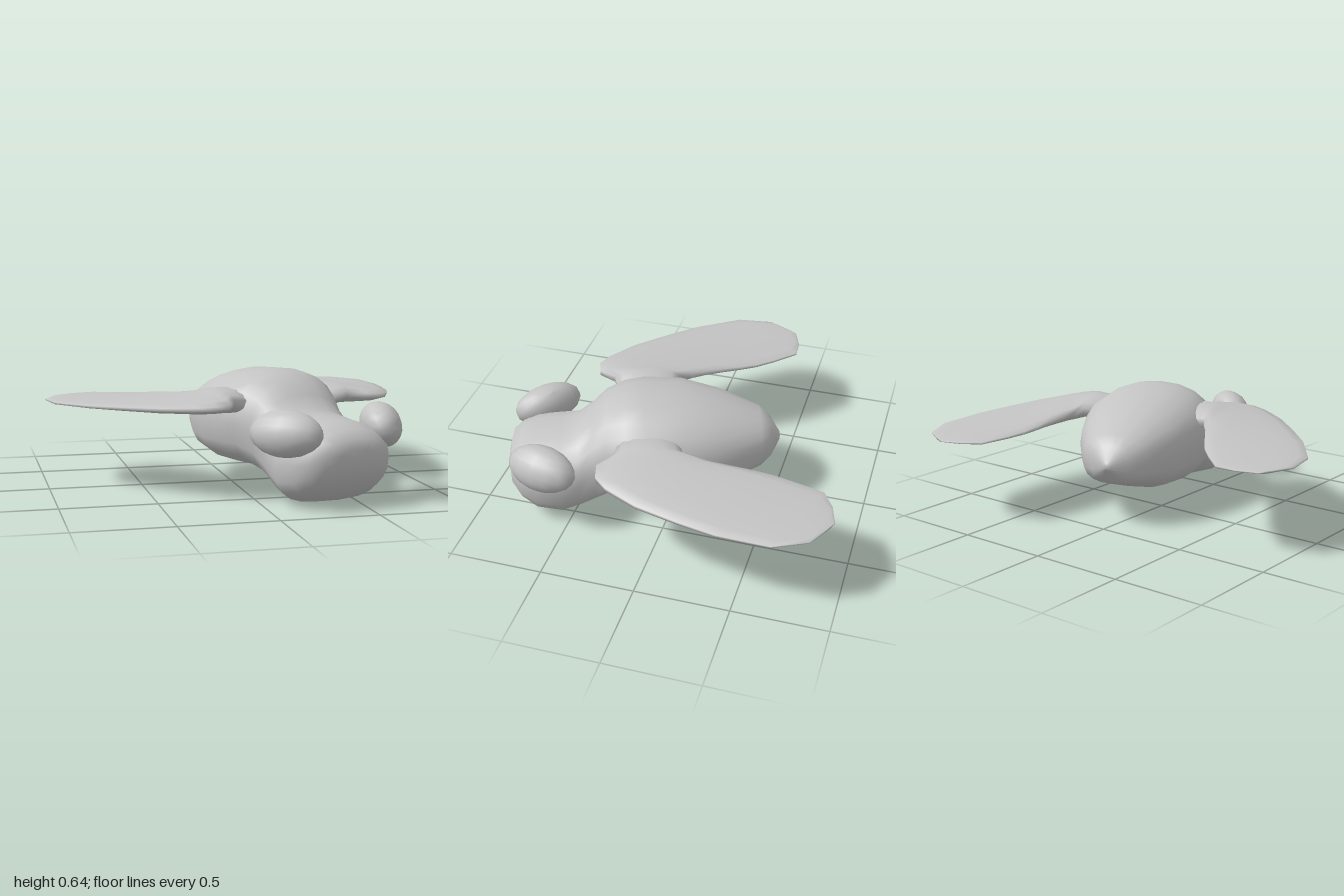
import * as THREE from 'three';

// Skin a closed surface over a list of rings (arrays of Vector3 of equal length).
function loft(rings) {
  const n = rings[0].length, pos = [], idx = [];
  rings.forEach(r => r.forEach(p => pos.push(p.x, p.y, p.z)));
  for (let i = 0; i < rings.length - 1; i++) {
    for (let j = 0; j < n; j++) {
      const a = i * n + j, b = i * n + (j + 1) % n;
      idx.push(a, b, a + n, b, b + n, a + n);
    }
  }
  [0, rings.length - 1].forEach((k, end) => {
    const c = new THREE.Vector3();
    rings[k].forEach(p => c.addScaledVector(p, 1 / n));
    const ci = pos.length / 3;
    pos.push(c.x, c.y, c.z);
    for (let j = 0; j < n; j++) {
      const a = k * n + j, b = k * n + (j + 1) % n;
      if (end) idx.push(a, b, ci); else idx.push(b, a, ci);
    }
  });
  const g = new THREE.BufferGeometry();
  g.setAttribute('position', new THREE.Float32BufferAttribute(pos, 3));
  g.setIndex(idx);
  g.computeVertexNormals();
  return g;
}

// Copy of a geometry reflected in x, with the winding restored.
function mirrorX(geometry) {
  const g = geometry.clone();
  const p = g.attributes.position, ix = g.index.array;
  for (let i = 0; i < p.count; i++) p.setX(i, -p.getX(i));
  for (let i = 0; i < ix.length; i += 3) [ix[i], ix[i + 1]] = [ix[i + 1], ix[i]];
  g.computeVertexNormals();
  return g;
}

const spow = (v, e) => Math.sign(v) * Math.abs(v) ** e;

// Body sections from tail to face: z, half width, top, bottom
const BODY = [
  [-0.53, 0.02, 0.37, 0.33], [-0.48, 0.11, 0.45, 0.26], [-0.42, 0.18, 0.50, 0.225],
  [-0.20, 0.29, 0.585, 0.15], [0, 0.35, 0.635, 0.13], [0.20, 0.355, 0.645, 0.13],
  [0.30, 0.33, 0.635, 0.135], [0.40, 0.285, 0.60, 0.10], [0.47, 0.265, 0.53, 0.055],
  [0.55, 0.27, 0.46, 0.02], [0.65, 0.30, 0.44, 0.003], [0.78, 0.29, 0.43, 0.03],
  [0.86, 0.25, 0.40, 0.09], [0.91, 0.19, 0.36, 0.16], [0.925, 0.10, 0.31, 0.22],
];

// Wing sections from root to tip: front x, z, back x, z, height, half thickness
const WING = [
  [0.20, 0.33, 0.20, 0.02, 0.47, 0.085], [0.36, 0.365, 0.36, 0.00, 0.495, 0.06],
  [0.43, 0.45, 0.38, -0.08, 0.49, 0.05], [0.52, 0.455, 0.41, -0.15, 0.485, 0.045],
  [0.60, 0.405, 0.44, -0.25, 0.48, 0.04], [0.73, 0.26, 0.47, -0.36, 0.473, 0.034],
  [0.85, 0.06, 0.50, -0.45, 0.467, 0.028], [0.945, -0.12, 0.55, -0.55, 0.462, 0.023],
  [1.03, -0.38, 0.63, -0.69, 0.458, 0.016], [1.00, -0.57, 0.74, -0.715, 0.456, 0.011],
  [0.93, -0.645, 0.86, -0.71, 0.455, 0.006],
];

function bodyGeometry() {
  const sides = 20;
  return loft(BODY.map(([z, w, top, bottom]) => {
    const cy = (top + bottom) / 2, h = (top - bottom) / 2;
    return Array.from({ length: sides }, (_, j) => {
      const a = j / sides * Math.PI * 2;
      const e = Math.sin(a) < 0 ? 0.7 : 0.9; // squarer belly, rounder back
      return new THREE.Vector3(w * spow(Math.cos(a), e), cy + h * spow(Math.sin(a), e), z);
    });
  }));
}

function wingGeometry() {
  const sides = 14;
  return loft(WING.map(([fx, fz, bx, bz, y, t]) =>
    Array.from({ length: sides }, (_, j) => {
      const a = j / sides * Math.PI * 2;
      const k = (1 + Math.sin(a)) / 2; // 0 at the back edge, 1 at the front edge
      return new THREE.Vector3(bx + (fx - bx) * k, y + t * spow(Math.cos(a), 0.85), bz + (fz - bz) * k);
    })));
}

// Flattened oval lying on the side of the head, leaning inward at the top
function eyeGeometry() {
  const g = new THREE.SphereGeometry(1, 14, 10);
  g.scale(0.105, 0.12, 0.195);
  g.rotateZ(0.5);
  g.rotateY(-0.53);
  g.translate(0.295, 0.385, 0.735);
  return g;
}

export function createModel() {
  const model = new THREE.Group();
  model.name = 'flyingInsect';
  const grey = new THREE.MeshStandardMaterial({ color: 0xc4c4c4 });
  grey.name = 'grey';

  // Everything is built facing +z, then turned to its resting heading
  const insect = new THREE.Group();
  insect.name = 'insect';
  insect.rotation.y = 0.317;
  insect.position.x = 0.135;
  model.add(insect);

  const add = (name, geometry) => {
    const mesh = new THREE.Mesh(geometry, grey);
    mesh.name = name;
    insect.add(mesh);
  };
  add('body', bodyGeometry());
  const pairs = { Wing: wingGeometry(), Eye: eyeGeometry() };
  for (const [part, geometry] of Object.entries(pairs)) {
    add('left' + part, geometry);
    add('right' + part, mirrorX(geometry));
  }
  return model;
}
